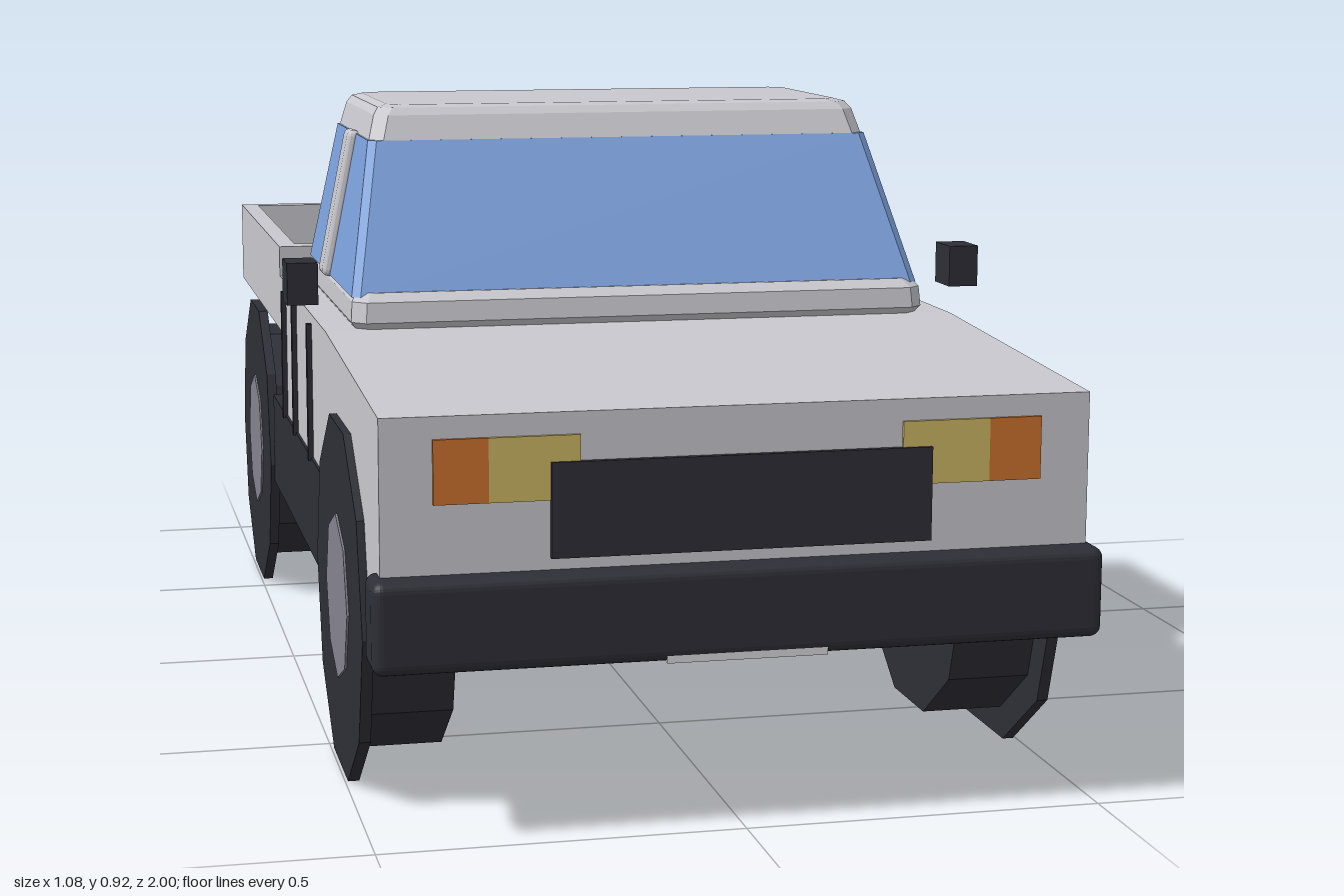
import * as THREE from 'three';
import { RoundedBoxGeometry } from 'three/addons/geometries/RoundedBoxGeometry.js';

const mat = (name, color) => {
  const m = new THREE.MeshStandardMaterial({ color, flatShading: true });
  m.name = name;
  return m;
};

// Closed loft through rectangular rings with cut corners: [y, halfWidth, zFront, zBack, cornerCut]
function loft(rings) {
  const pos = [], idx = [];
  for (const [y, w, f, b, c] of rings) {
    pos.push(w - c, y, f, w, y, f - c, w, y, b + c, w - c, y, b,
      c - w, y, b, -w, y, b + c, -w, y, f - c, c - w, y, f);
  }
  const n = 8, last = (rings.length - 1) * n;
  for (let r = 0; r < last; r += n) {
    for (let i = 0; i < n; i++) {
      const j = (i + 1) % n;
      idx.push(r + i, r + j, r + n + j, r + i, r + n + j, r + n + i);
    }
  }
  for (let i = 1; i < n - 1; i++) {
    idx.push(last, last + i, last + i + 1);
    idx.push(0, i + 1, i);
  }
  const g = new THREE.BufferGeometry();
  g.setAttribute('position', new THREE.Float32BufferAttribute(pos, 3));
  g.setIndex(idx);
  g.computeVertexNormals();
  return g;
}

export function createModel() {
  const truck = new THREE.Group();
  truck.name = 'pickupTruck';

  const paint = mat('bodyPaint', 0xc8c8ce);
  const dark = mat('darkTrim', 0x2e2e37);
  const glass = mat('glass', 0x7ba0da);
  const hubGrey = mat('hubGrey', 0x84828f);
  const yellow = mat('headlightYellow', 0xcdb765);
  const orange = mat('signalOrange', 0xcd722c);
  const red = mat('tailRed', 0xb92d25);
  const white = mat('plateWhite', 0xd8d8dc);

  const add = (name, geo, material, parent = truck) => {
    const m = new THREE.Mesh(geo, material);
    m.name = name;
    parent.add(m);
    return m;
  };
  // Box given by its limits on each axis
  const box = (name, material, x0, x1, y0, y1, z0, z1) => {
    const g = new THREE.BoxGeometry(x1 - x0, y1 - y0, z1 - z0);
    g.translate((x0 + x1) / 2, (y0 + y1) / 2, (z0 + z1) / 2);
    return add(name, g, material);
  };
  // The same box on both sides
  const pair = (name, material, x0, x1, ...rest) => {
    box(name + 'Left', material, x0, x1, ...rest);
    box(name + 'Right', material, -x1, -x0, ...rest);
  };

  // Body with sloping hood, extruded from its side profile
  const profile = new THREE.Shape([
    [-0.265, 0.236], [0.965, 0.236], [0.965, 0.57], [0.4, 0.6], [-0.265, 0.6],
  ].map(([z, y]) => new THREE.Vector2(z, y)));
  const bodyGeo = new THREE.ExtrudeGeometry(profile, { depth: 0.97, bevelEnabled: false });
  bodyGeo.rotateY(-Math.PI / 2).translate(0.485, 0, 0);
  add('body', bodyGeo, paint);
  box('chassis', dark, -0.489, 0.489, 0.22, 0.375, -0.377, 0.347);

  // Cab: sill, windows, roof
  add('cabSill', loft([
    [0.598, 0.436, 0.39, -0.195, 0.02], [0.61, 0.444, 0.4, -0.205, 0.02],
    [0.64, 0.442, 0.395, -0.203, 0.02], [0.652, 0.433, 0.375, -0.193, 0.02],
  ]), paint);
  add('windows', loft([
    [0.645, 0.441, 0.375, -0.198, 0.012], [0.868, 0.396, 0.24, -0.16, 0.012],
  ]), glass);
  add('roof', loft([
    [0.865, 0.394, 0.241, -0.161, 0.02], [0.905, 0.383, 0.222, -0.15, 0.02],
    [0.916, 0.375, 0.21, -0.143, 0.02], [0.92, 0.36, 0.195, -0.13, 0.02],
  ]), paint);
  for (const s of [1, -1]) {
    const pillar = add(s > 0 ? 'pillarLeft' : 'pillarRight',
      new RoundedBoxGeometry(0.024, 0.235, 0.06, 2, 0.01), paint);
    pillar.position.set(s * 0.419, 0.757, 0.061);
    pillar.rotation.z = s * 0.2;
  }

  // Door gaps and mirrors
  [0.207, -0.013, -0.174].forEach((z, i) =>
    pair('doorGap' + (i + 1), dark, 0.484, 0.493, 0.37, 0.585, z - 0.007, z + 0.007));
  pair('mirror', dark, 0.492, 0.538, 0.637, 0.7, 0.31, 0.375);

  // Cargo bed
  pair('bedSide', paint, 0.455, 0.485, 0.506, 0.65, -0.993, -0.265);
  box('bedFrontWall', paint, -0.455, 0.455, 0.506, 0.65, -0.305, -0.265);
  box('tailgate', paint, -0.455, 0.455, 0.506, 0.65, -0.993, -0.963);
  box('bedFloor', dark, -0.456, 0.456, 0.508, 0.53, -0.964, -0.304);
  pair('tailLight', red, 0.267, 0.45, 0.47, 0.557, -1, -0.97);

  // Front end
  const bumper = add('bumper', new RoundedBoxGeometry(1, 0.125, 0.08, 3, 0.015), dark);
  bumper.position.set(0, 0.298, 0.96);
  box('numberPlate', white, -0.11, 0.11, 0.234, 0.29, 0.99, 0.9985);
  box('grille', dark, -0.26, 0.26, 0.377, 0.505, 0.966, 0.975);
  pair('headlight', yellow, 0.22, 0.342, 0.454, 0.54, 0.962, 0.97);
  pair('turnSignal', orange, 0.342, 0.415, 0.454, 0.54, 0.962, 0.97);

  // Wheels: broad inner drum, wide thin outer disc, hub
  const disc = (name, radius, sides, x0, x1, material, parent) => {
    const g = new THREE.CylinderGeometry(radius, radius, x1 - x0, sides);
    g.rotateZ(Math.PI / 2).translate((x0 + x1) / 2, 0, 0);
    add(name, g, material, parent);
  };
  for (const [end, z] of [['front', 0.604], ['rear', -0.634]]) {
    for (const s of [1, -1]) {
      const wheel = new THREE.Group();
      wheel.name = end + 'Wheel' + (s > 0 ? 'Left' : 'Right');
      wheel.position.set(0, 0.25, z);
      if (s < 0) wheel.rotation.y = Math.PI;
      disc('tyreInner', 0.215, 10, 0.36, 0.481, dark, wheel);
      disc('tyreOuter', 0.262, 10, 0.48, 0.496, dark, wheel);
      disc('hub', 0.12, 8, 0.49, 0.499, hubGrey, wheel);
      truck.add(wheel);
    }
  }
  return truck;
}
